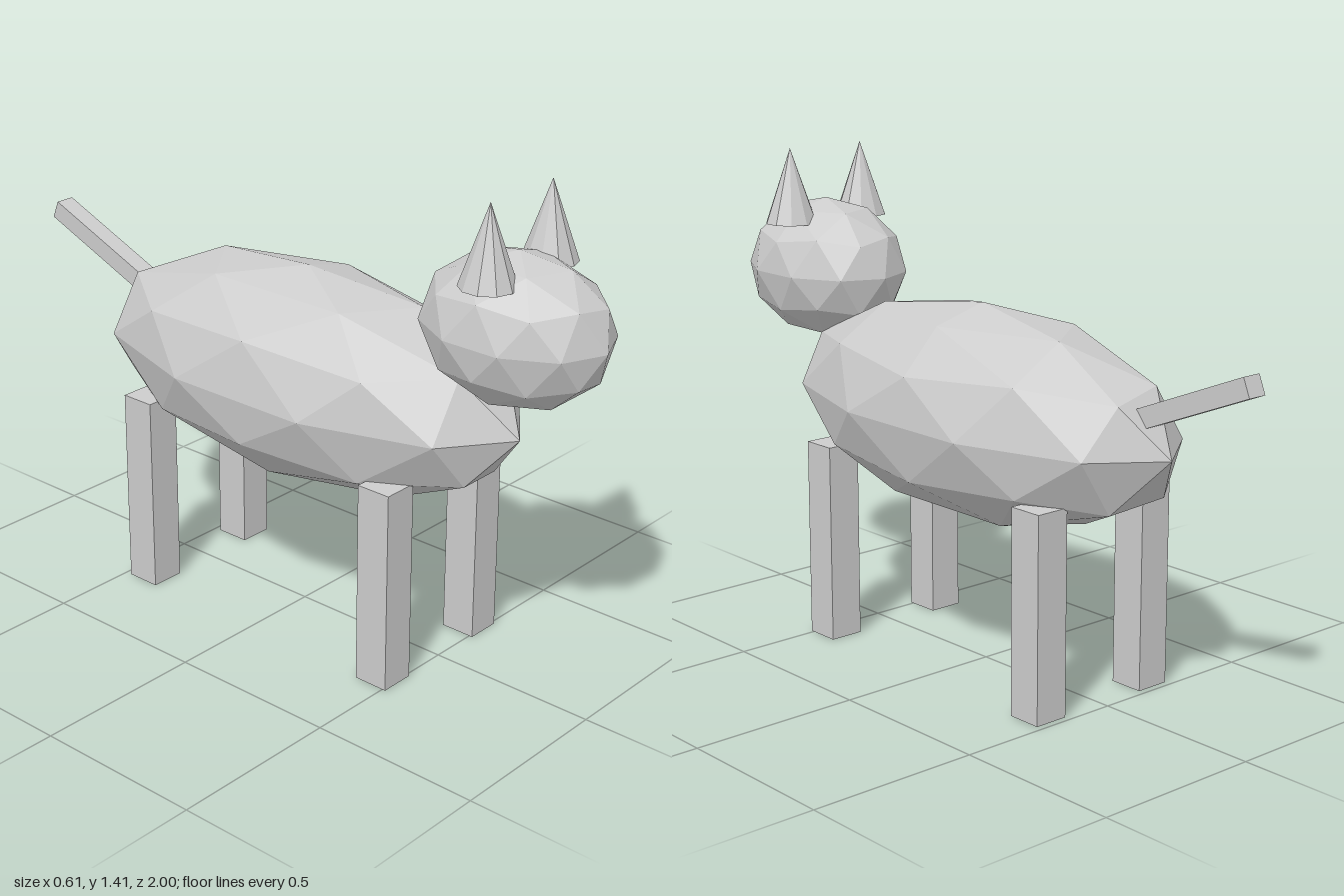
import * as THREE from 'three';

export function createModel() {
  const cat = new THREE.Group();
  cat.name = 'cat';
  const grey = new THREE.MeshStandardMaterial({ color: 0xcccccc, flatShading: true });
  grey.name = 'grey';

  const add = (name, geometry, x, y, z) => {
    const mesh = new THREE.Mesh(geometry, grey);
    mesh.name = name;
    mesh.position.set(x, y, z);
    cat.add(mesh);
    return mesh;
  };

  // Faceted ball with a corner at the top, stretched along each axis
  const ball = (rx, ry, rz) => {
    const g = new THREE.IcosahedronGeometry(1, 1);
    g.rotateZ(-Math.atan(2 / (1 + Math.sqrt(5))));
    g.scale(rx, ry, rz);
    g.computeVertexNormals();
    return g;
  };

  add('body', ball(0.32, 0.308, 0.733), 0, 0.736, 0.014);
  add('head', ball(0.209, 0.21, 0.278), 0, 1.048, 0.722);

  for (const [side, s] of [['left', 1], ['right', -1]]) {
    // Ears
    add(side + 'Ear', new THREE.ConeGeometry(0.077, 0.22, 10), s * 0.13, 1.305, 0.722);
    // Legs
    for (const [end, z] of [['Front', 0.458], ['Back', -0.429]]) {
      add(side + end + 'Leg', new THREE.BoxGeometry(0.103, 0.587, 0.104), s * 0.193, 0.2935, z);
    }
  }

  // Tail, rising towards the back
  const angle = 0.39, length = 0.42;
  const tail = add('tail', new THREE.BoxGeometry(0.058, 0.056, length), 0,
    0.984 - Math.sin(angle) * length / 2, -0.989 + Math.cos(angle) * length / 2);
  tail.rotation.x = angle;

  return cat;
}
